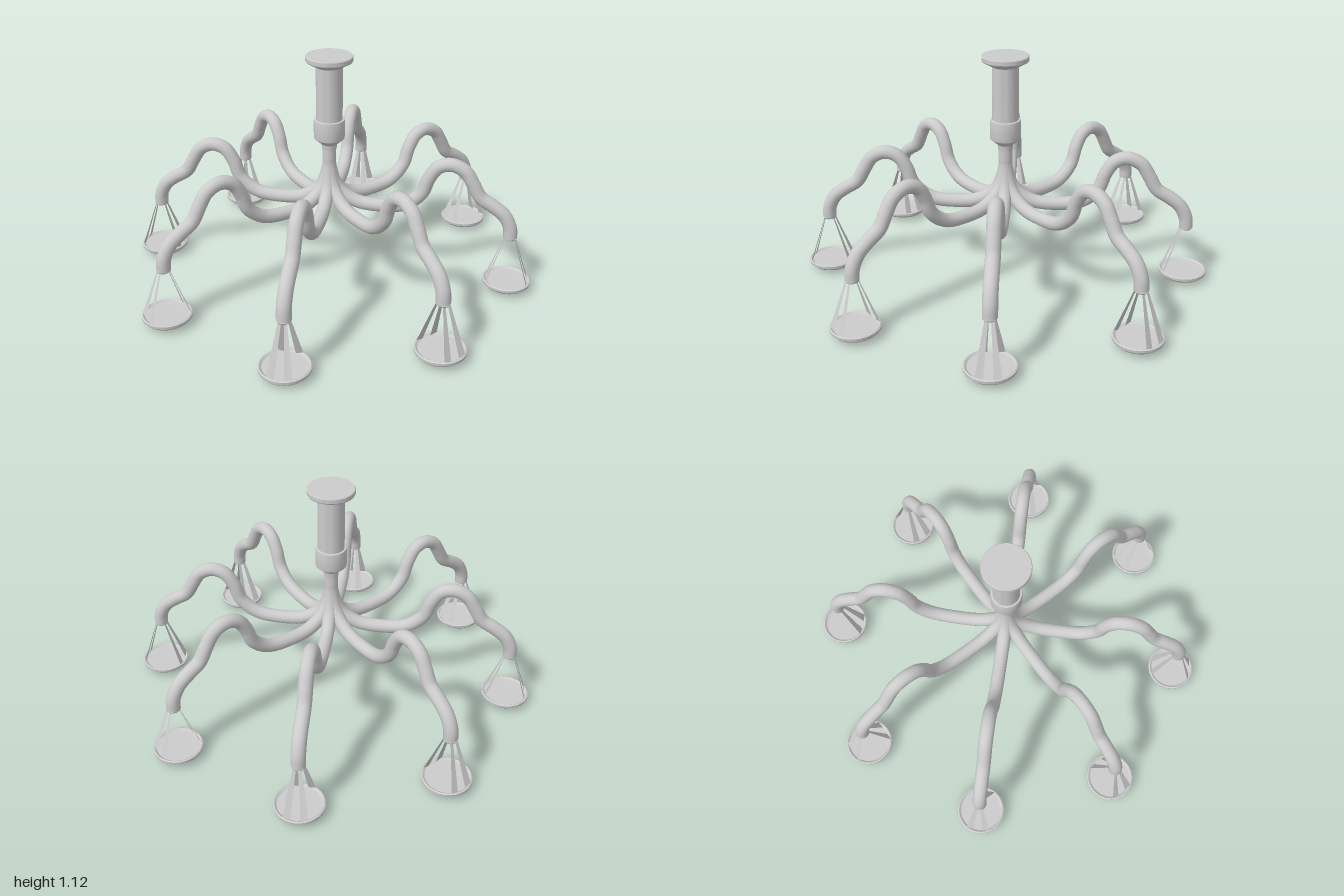
import * as THREE from 'three';
import { toCreasedNormals } from 'three/addons/utils/BufferGeometryUtils.js';

const material = new THREE.MeshStandardMaterial({ color: 0xcccccc });
const thinMaterial = new THREE.MeshStandardMaterial({ color: 0xcccccc, side: THREE.DoubleSide });

const ARM_COUNT = 8;
const ARM_RADIUS = 0.033;
const CUP_REACH = 0.883;

function part(name, geometry, mat = material) {
  const mesh = new THREE.Mesh(geometry, mat);
  mesh.name = name;
  return mesh;
}

// Turned part from [radius, height] pairs, listed bottom to top
function turned(name, profile, segments = 40) {
  const points = profile.map(([r, y]) => new THREE.Vector2(r, y));
  return part(name, toCreasedNormals(new THREE.LatheGeometry(points, segments), 0.5));
}

// Serpentine arm in the XY plane: [reach, height]
function armGeometry() {
  const points = [
    [0, 0.69], [0.004, 0.56], [0.045, 0.455], [0.13, 0.395], [0.25, 0.382],
    [0.37, 0.4], [0.45, 0.465], [0.483, 0.55], [0.525, 0.61], [0.585, 0.628],
    [0.65, 0.6], [0.69, 0.54], [0.73, 0.472], [0.79, 0.433], [0.845, 0.39],
    [0.877, 0.33], [CUP_REACH, 0.275],
  ].map(([x, y]) => new THREE.Vector3(x, y, 0));
  return new THREE.TubeGeometry(new THREE.CatmullRomCurve3(points), 90, ARM_RADIUS, 16, false);
}

// Flat tapered strap from the arm tip down to the dish
function strapGeometry(radial, side) {
  const corners = [
    [0.022 * radial, 0.275, 0.006 * side], [0.022 * radial, 0.275, 0.02 * side],
    [0.098 * radial, 0.04, 0.058 * side], [0.098 * radial, 0.04, 0.022 * side],
  ];
  const geometry = new THREE.BufferGeometry();
  geometry.setAttribute('position', new THREE.Float32BufferAttribute(corners.flat(), 3));
  geometry.setIndex([0, 1, 2, 0, 2, 3]);
  geometry.computeVertexNormals();
  return geometry;
}

// Hanging dish with two straps on the outer and two on the inner side
function createCup() {
  const cup = new THREE.Group();
  cup.name = 'hangingCup';
  cup.add(turned('dish', [
    [0, 0], [0.03, 0.003], [0.075, 0.012], [0.105, 0.023], [0.115, 0.033],
    [0.116, 0.046], [0.11, 0.05], [0.1, 0.042], [0, 0.04],
  ], 32));
  for (const radial of [-1, 1]) {
    for (const side of [-1, 1]) cup.add(part('strap', strapGeometry(radial, side), thinMaterial));
  }
  return cup;
}

export function createModel() {
  const model = new THREE.Group();
  model.name = 'chandelier';

  // Ceiling plate, column and collar
  model.add(turned('column', [
    [0, 0.66], [0.035, 0.66], [0.037, 0.685], [0.072, 0.715], [0.074, 0.725], [0.074, 0.8],
    [0.072, 0.81], [0.063, 0.812], [0.063, 1.075],
  ]));
  model.add(turned('ceilingPlate', [
    [0, 1.07], [0.063, 1.07], [0.108, 1.095], [0.111, 1.1], [0.111, 1.118], [0.108, 1.122], [0, 1.122],
  ]));

  // Arms fan out evenly, each with an end cap and a cup
  const tube = armGeometry();
  for (let i = 0; i < ARM_COUNT; i++) {
    const arm = new THREE.Group();
    arm.name = 'armAssembly';
    arm.add(part('arm', tube));
    const tip = part('armTip', new THREE.CylinderGeometry(ARM_RADIUS, 0.03, 0.006, 16));
    tip.position.set(CUP_REACH, 0.273, 0);
    const cup = createCup();
    cup.position.x = CUP_REACH;
    arm.add(tip, cup);
    arm.rotation.y = (i / ARM_COUNT) * Math.PI * 2 + 0.007;
    model.add(arm);
  }
  return model;
}
